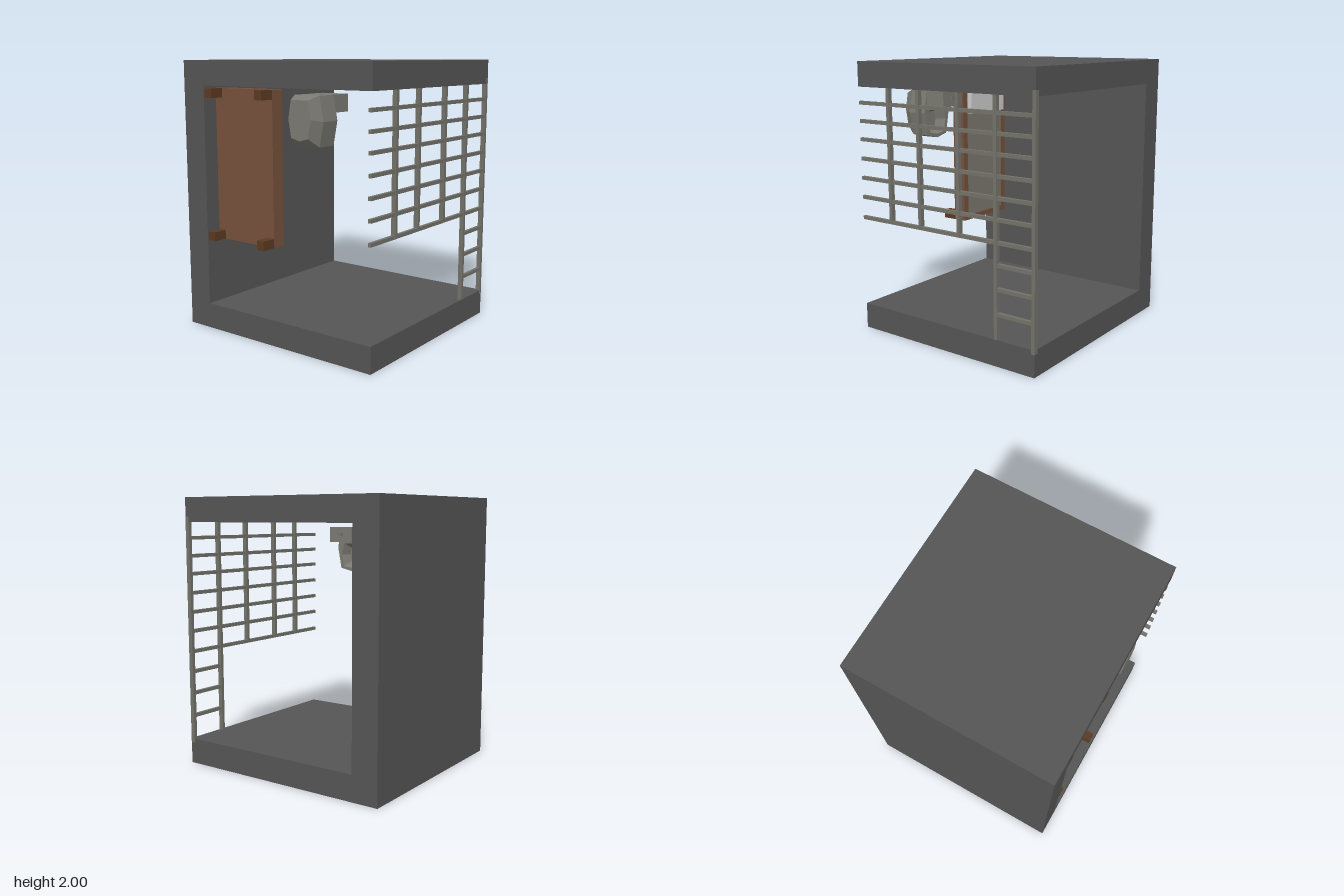
import * as THREE from 'three';

const mat = (color, side = THREE.FrontSide) => new THREE.MeshStandardMaterial({ color, flatShading: true, side });
const concrete = mat(0x555555), steel = mat(0x73726a), wood = mat(0x76503a), darkWood = mat(0x5c3a22);
const cloth = mat(0x7a776e), linen = mat(0xcccccc), metal = mat(0x7b7a72);

// Box given by its two extreme corners
function box(name, material, [x0, y0, z0], [x1, y1, z1]) {
  const mesh = new THREE.Mesh(new THREE.BoxGeometry(x1 - x0, y1 - y0, z1 - z0), material);
  mesh.position.set((x0 + x1) / 2, (y0 + y1) / 2, (z0 + z1) / 2);
  mesh.name = name;
  return mesh;
}

function group(name, ...children) {
  const g = new THREE.Group();
  g.name = name;
  if (children.length) g.add(...children);
  return g;
}

// C-shaped shell, open on three sides
function makeShell() {
  const pts = [[-0.84, 0], [0.835, 0], [0.835, 0.19], [-0.64, 0.19], [-0.64, 1.82], [0.835, 1.82], [0.835, 2], [-0.84, 2]];
  const shape = new THREE.Shape(pts.map(p => new THREE.Vector2(...p)));
  const geo = new THREE.ExtrudeGeometry(shape, { depth: 1.54, bevelEnabled: false });
  geo.translate(0, 0, -0.77);
  const mesh = new THREE.Mesh(geo, concrete);
  mesh.name = 'shell';
  return mesh;
}

// Grid of bars with a doorway left open
function makeBars() {
  const g = group('bars'), t = 0.013;
  const upright = (z, y0, y1) => g.add(box('uprightBar', steel, [0.803, y0, z - t], [0.836, y1, z + t]));
  const cross = (y, z0, z1) => g.add(box('crossBar', steel, [0.808, y - t, z0], [0.832, y + t, z1]));
  for (const z of [0.484, 0.204, -0.143]) upright(z, 0.85, 1.82);
  upright(-0.455, 0.19, 1.82);
  upright(-0.758, 0.16, 1.86);
  for (const y of [1.705, 1.573, 1.44, 1.298, 1.155, 1.012, 0.858]) cross(y, -0.77, 0.77);
  for (const y of [0.705, 0.54, 0.366]) cross(y, -0.758, -0.455);
  return g;
}

// Bed, its upper side facing -z
function makeBed() {
  const g = group('bed');
  const [x0, x1, y0, y1] = [-0.63, -0.08, 0.68, 1.8];
  g.add(box('bedBase', wood, [x0, y0, 0.6], [x1, y1, 0.66]));
  for (const x of [x0, x1 - 0.05]) g.add(box('sideRail', wood, [x, y0, 0.555], [x + 0.05, y1, 0.6]));
  for (const y of [y0, y1 - 0.04]) g.add(box('endRail', wood, [x0 + 0.05, y, 0.555], [x1 - 0.05, y + 0.04, 0.6]));
  for (const x of [x0, x1 - 0.065])
    for (const y of [y0, y1 - 0.068]) g.add(box('bedLeg', darkWood, [x, y, 0.66], [x + 0.065, y + 0.068, 0.77]));
  g.add(box('mattress', cloth, [x0 + 0.05, y0 + 0.04, 0.56], [x1 - 0.05, y1 - 0.04, 0.6]));
  g.add(box('pillow', linen, [x0 + 0.06, 1.56, 0.52], [x1 - 0.06, 1.755, 0.56]));
  return g;
}

// Toilet, its upper side facing -z
function makeToilet() {
  const outline = [[0.105, 0.17], [-0.105, 0.17], [-0.138, 0], [-0.105, -0.17], [0, -0.195], [0.105, -0.17], [0.138, 0]];
  // Each ring: z, x scale, y scale, y centre
  const rings = [
    [0.77, 0, 0, 1.62], [0.77, 0.69, 0.74, 1.62], [0.69, 1, 1, 1.605], [0.54, 1, 1, 1.605],
    [0.54, 0.72, 0.55, 1.545], [0.61, 0.45, 0.35, 1.545], [0.61, 0, 0, 1.545],
  ];
  const n = outline.length, pos = [], index = [];
  rings.forEach(([z, sx, sy, cy], k) => outline.forEach(([x, y], i) => {
    pos.push(0.256 + x * sx, cy + y * sy, z);
    if (k === 0) return;
    const j = (i + 1) % n, a = (k - 1) * n, b = k * n;
    if (k > 1) index.push(a + i, b + i, a + j);
    if (k < rings.length - 1) index.push(b + i, b + j, a + j);
  }));
  const geo = new THREE.BufferGeometry();
  geo.setAttribute('position', new THREE.Float32BufferAttribute(pos, 3));
  geo.setIndex(index);
  geo.computeVertexNormals();
  const bowl = new THREE.Mesh(geo, metal);
  bowl.name = 'bowl';
  return group('toilet', bowl,
    box('tank', metal, [0.15, 1.655, 0.38], [0.362, 1.776, 0.545]),
    box('flushButton', steel, [0.24, 1.705, 0.365], [0.272, 1.73, 0.38]));
}

export function createModel() {
  return group('cell', makeShell(), makeBars(), makeBed(), makeToilet());
}
